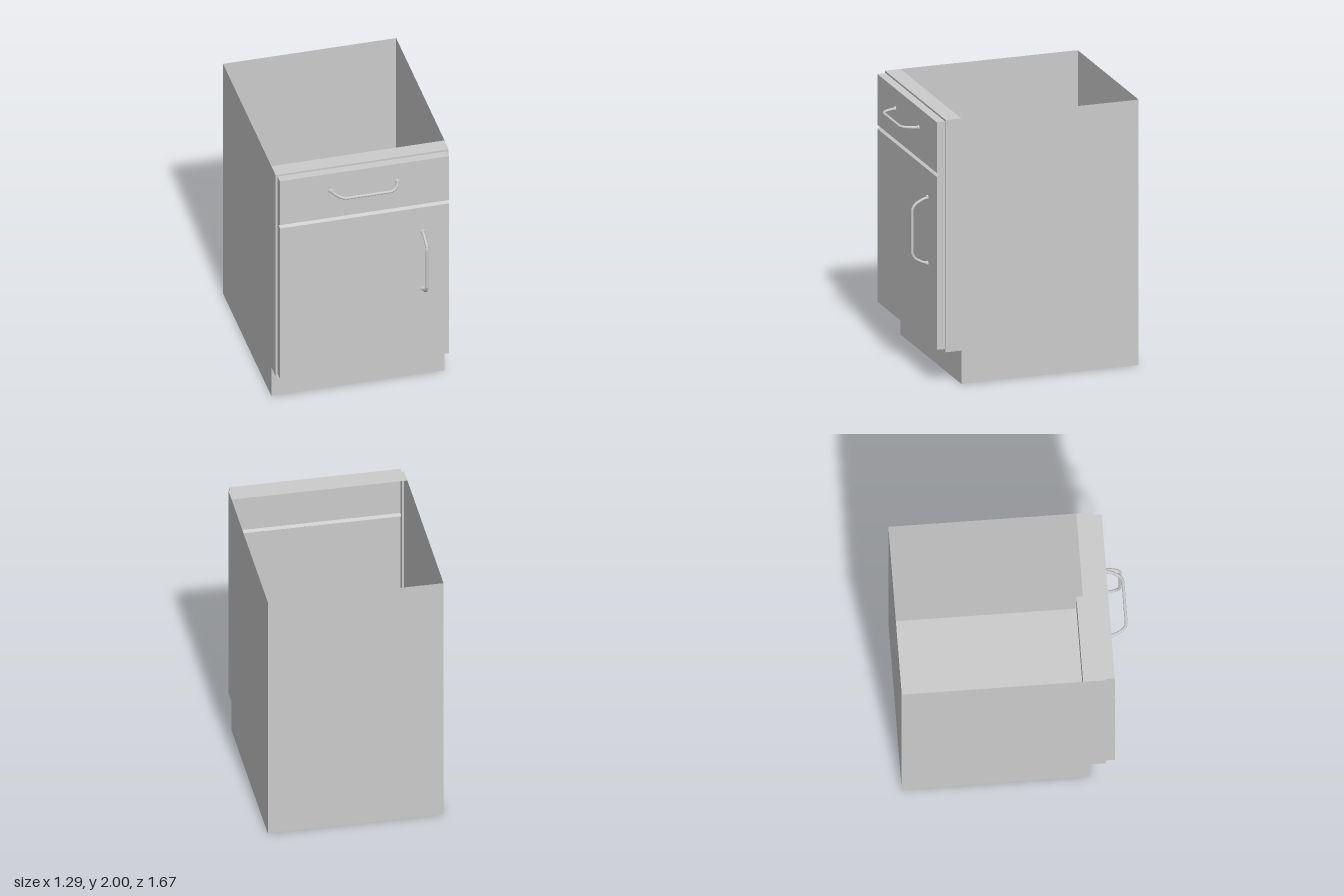
import * as THREE from 'three';

const W = 0.645;                       // half width of the carcass
const DW = 0.63;                       // half width of door and drawer
const FRAME = 0.642, FACE = 0.705;     // z of the carcass front and of the door face
const TOE = 0.523, BACK = -0.835;

const sheetMat = new THREE.MeshStandardMaterial({ color: 0xcccccc, side: THREE.DoubleSide });
const solidMat = new THREE.MeshStandardMaterial({ color: 0xcccccc });

function named(name, geometry, material = sheetMat) {
  const mesh = new THREE.Mesh(geometry, material);
  mesh.name = name;
  return mesh;
}

// Folded sheet: a [z, y] profile swept straight across from -half to +half in x
function foldedSheet(name, profile, half) {
  const pos = [];
  for (let i = 0; i < profile.length - 1; i++) {
    const [z0, y0] = profile[i], [z1, y1] = profile[i + 1];
    pos.push(-half, y0, z0, -half, y1, z1, half, y1, z1);
    pos.push(-half, y0, z0, half, y1, z1, half, y0, z0);
  }
  const geo = new THREE.BufferGeometry();
  geo.setAttribute('position', new THREE.Float32BufferAttribute(pos, 3));
  geo.computeVertexNormals();
  return named(name, geo);
}

// Flat side panel: a [z, y] outline standing at a given x
function sidePanel(name, outline, x) {
  const shape = new THREE.Shape(outline.map(([z, y]) => new THREE.Vector2(z, y)));
  const mesh = named(name, new THREE.ShapeGeometry(shape));
  mesh.rotation.y = -Math.PI / 2;
  mesh.position.x = x;
  return mesh;
}

function rect(PathClass, half, y0, y1) {
  return new PathClass([[-half, y0], [half, y0], [half, y1], [-half, y1]]
    .map(([x, y]) => new THREE.Vector2(x, y)));
}

// Bar pull lying along x, standing out in +z from a mounting face at z = 0
function makeHandle(name) {
  const group = new THREE.Group();
  group.name = name;
  const half = [[0.248, 0], [0.234, 0.045], [0.21, 0.088], [0.193, 0.105], [0.165, 0.118]];
  const pts = [...half, ...half.map(([x, z]) => [-x, z]).reverse()]
    .map(([x, z]) => new THREE.Vector3(x, 0, z));
  const path = new THREE.CurvePath();
  for (let i = 0; i < pts.length - 1; i++) path.add(new THREE.LineCurve3(pts[i], pts[i + 1]));
  group.add(named('handleBar', new THREE.TubeGeometry(path, 60, 0.011, 10), solidMat));
  for (const s of [-1, 1]) {
    const foot = named('handleFoot', new THREE.CylinderGeometry(0.015, 0.019, 0.012, 12), solidMat);
    foot.rotation.x = Math.PI / 2;
    foot.position.set(s * 0.248, 0, 0.006);
    group.add(foot);
  }
  return group;
}

export function createModel() {
  const model = new THREE.Group();
  model.name = 'baseCabinet';

  // Carcass: open-topped shell with a recessed toe kick
  const carcass = new THREE.Group();
  carcass.name = 'carcass';
  const shell = [[FRAME, 0.25], [TOE, 0.25], [TOE, 0], [BACK, 0], [BACK, 2]];
  carcass.add(foldedSheet('toeKickBottomAndBack', shell, W));
  carcass.add(foldedSheet('topFrontRail', [[TOE, 2], [FRAME, 2]], W));
  for (const s of [-1, 1]) {
    carcass.add(sidePanel(s > 0 ? 'leftSide' : 'rightSide', [...shell, [FRAME, 2]], s * W));
  }

  // Narrow frame edge around the door and drawer
  const edge = rect(THREE.Shape, W, 0.25, 2);
  edge.holes.push(rect(THREE.Path, DW, 0.27, 1.985));
  const frontFrame = named('frontFrame', new THREE.ShapeGeometry(edge));
  frontFrame.position.z = FRAME;
  carcass.add(frontFrame);
  model.add(carcass);

  // Drawer and door fronts, open at the back, meeting in a V groove
  const fronts = {
    drawerFront: [[FRAME, 1.985], [FACE, 1.985], [FACE, 1.603], [0.68, 1.59]],
    door: [[0.68, 1.59], [FACE, 1.573], [FACE, 0.27], [FRAME, 0.27]],
  };
  for (const [name, profile] of Object.entries(fronts)) {
    const group = new THREE.Group();
    group.name = name;
    group.add(foldedSheet(name + 'Face', profile, DW));
    const outline = name === 'door' ? [...profile, [FRAME, 1.59]] : [...profile, [FRAME, 1.59]];
    for (const s of [-1, 1]) group.add(sidePanel(name + 'Edge', outline, s * DW));
    model.add(group);
  }

  // Pulls: one across the drawer, one upright on the door
  const drawerHandle = makeHandle('drawerHandle');
  drawerHandle.position.set(0, 1.835, FACE);
  const doorHandle = makeHandle('doorHandle');
  doorHandle.rotation.z = Math.PI / 2;
  doorHandle.position.set(0.435, 1.115, FACE);
  model.add(drawerHandle, doorHandle);

  return model;
}
